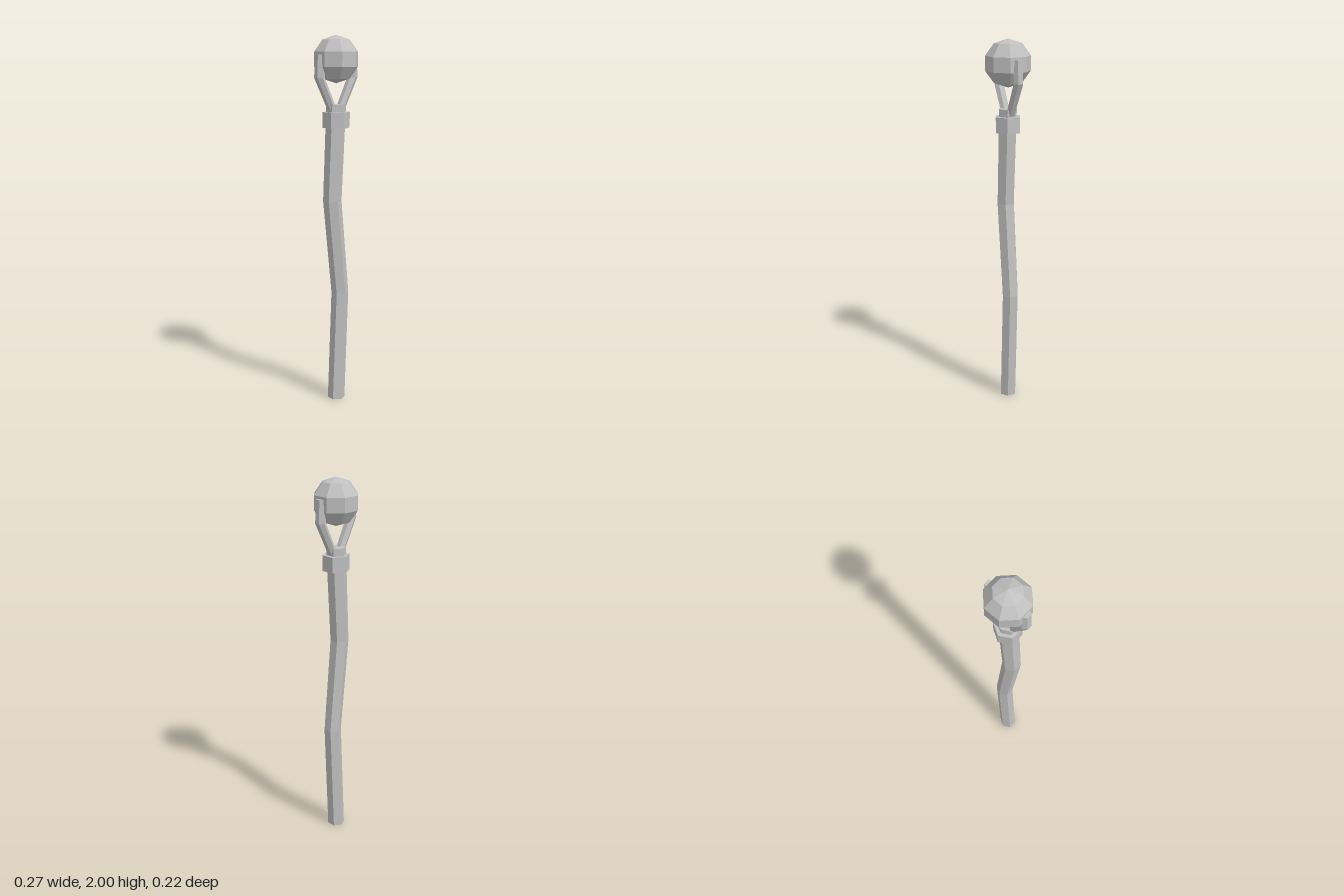
import * as THREE from 'three';

const grey = new THREE.MeshStandardMaterial({ color: 0xc0c0c0 });
grey.name = 'plain grey';

// Faceted mesh: every face gets its own flat normal
function facetedMesh(name, geometry) {
  const flat = geometry.toNonIndexed();
  flat.computeVertexNormals();
  const mesh = new THREE.Mesh(flat, grey);
  mesh.name = name;
  return mesh;
}

// Capped hexagonal limb through level rings of [centre x, height, radius]
function hexLimb(rings) {
  const last = rings.length - 1;
  const geometry = new THREE.CylinderGeometry(1, 1, 1, 6, last);
  const pos = geometry.attributes.position;
  for (let i = 0; i < pos.count; i++) {
    const [cx, y, r] = rings[Math.round((pos.getY(i) + 0.5) * last)];
    pos.setXYZ(i, cx + pos.getX(i) * r, y, pos.getZ(i) * r);
  }
  return geometry;
}

export function createModel() {
  const staff = new THREE.Group();
  staff.name = 'staff';

  // Crooked wooden pole
  staff.add(facetedMesh('shaft', hexLimb([
    [0, 0, 0.047],
    [0.026, 0.61, 0.047],
    [-0.026, 1.125, 0.05],
    [0, 1.64, 0.053],
  ])));

  // Band around the top of the pole
  staff.add(facetedMesh('collar', hexLimb([
    [0, 1.517, 0.073],
    [0, 1.6, 0.073],
  ])));

  // Two bent prongs gripping the orb
  for (const [name, side] of [['leftProng', 1], ['rightProng', -1]]) {
    staff.add(facetedMesh(name, hexLimb([
      [side * 0.02, 1.6, 0.025],
      [side * 0.109, 1.78, 0.028],
      [side * 0.106, 1.9, 0.026],
    ])));
  }

  // Faceted orb, turned so a flat side faces the front
  const orb = facetedMesh('orb', new THREE.SphereGeometry(0.125, 8, 5));
  orb.position.y = 1.875;
  orb.rotation.y = Math.PI / 8;
  staff.add(orb);

  return staff;
}
